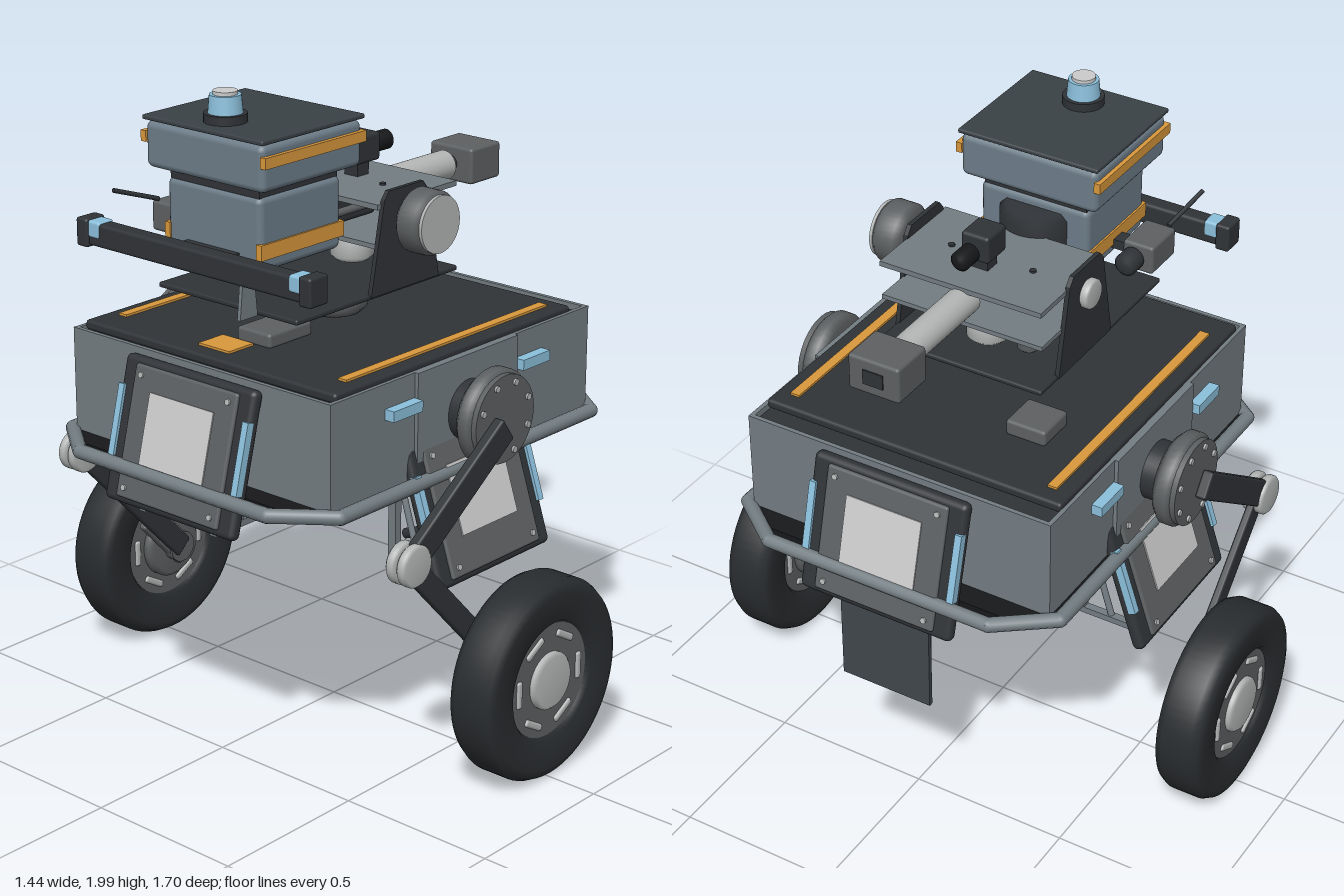
import * as THREE from 'three';
import { RoundedBoxGeometry } from 'three/addons/geometries/RoundedBoxGeometry.js';

const C = { panel: 0x737d82, dark: 0x303337, black: 0x17181a, tyre: 0x292c2f, mid: 0x5d6062, light: 0xb4b6b6,
  plate: 0xd4d8d8, orange: 0xd9983c, blue: 0x8cc0dc, head: 0x6d7d89, roof: 0x3a4146, flap: 0x3f474c };
const mats = {};
const mat = (c) => (mats[c] ??= new THREE.MeshStandardMaterial({ color: c, side: THREE.DoubleSide }));

function add(parent, name, geo, color, p = [0, 0, 0], r = [0, 0, 0]) {
  const m = new THREE.Mesh(geo, mat(color));
  m.name = name;
  m.position.set(...p);
  m.rotation.set(...r);
  parent.add(m);
  return m;
}
const box = (w, h, d) => new THREE.BoxGeometry(w, h, d);
const rbox = (w, h, d, r = 0.015) => new RoundedBoxGeometry(w, h, d, 2, r);
const cyl = (r, h, r2 = r, n = 32) => new THREE.CylinderGeometry(r2, r, h, n);
const shape = (pts) => new THREE.Shape(pts.map((p) => new THREE.Vector2(...p)));
const slab = (pts, depth) => new THREE.ExtrudeGeometry(shape(pts), { depth, bevelEnabled: false });
const X = [0, 0, -Math.PI / 2], Z = [Math.PI / 2, 0, 0];

// Round bar between two points
function rod(parent, name, a, b, r, color) {
  const A = new THREE.Vector3(...a), B = new THREE.Vector3(...b);
  const m = add(parent, name, cyl(r, A.distanceTo(B), r, 12), color);
  m.position.copy(A).add(B).multiplyScalar(0.5);
  m.quaternion.setFromUnitVectors(new THREE.Vector3(0, 1, 0), B.sub(A).normalize());
}

// Soft-edged disc or drum along y
function drum(r, h, e = 0.015) {
  return new THREE.LatheGeometry([[0, -h / 2], [r - e, -h / 2], [r, -h / 2 + e], [r, h / 2 - e], [r - e, h / 2], [0, h / 2]]
    .map(([x, y]) => new THREE.Vector2(x, y)), 40);
}

// Eight-cornered outline, chamfered at the corners
const octagon = (x, z, cx, cz) => [[cx, z], [x, cz], [x, -cz], [cx, -z], [-cx, -z], [-x, -cz], [-x, cz], [-cx, z]];

function buildBody(root) {
  const g = new THREE.Group();
  g.name = 'body';
  root.add(g);
  add(g, 'floorPan', slab(octagon(0.65, 0.515, 0.56, 0.41), 0.025), C.black, [0, 0.918, 0], Z);
  add(g, 'floorHatch', box(0.2, 0.012, 0.14), C.dark, [0, 0.888, 0]);
  add(g, 'hull', box(1.13, 0.3, 0.98), C.dark, [0, 1.065, 0]);
  add(g, 'deck', rbox(1.05, 0.03, 0.98, 0.01), C.dark, [-0.02, 1.237, 0]);
  // Bumper rail
  const rail = octagon(0.693, 0.53, 0.57, 0.37).map(([x, z]) => [x, 0.912, z]);
  rail.forEach((p, i) => {
    rod(g, 'bumperRail', p, rail[(i + 1) % 8], 0.022, C.panel);
    add(g, 'railJoint', new THREE.SphereGeometry(0.022, 12, 8), C.panel, p);
  });
  // Upright walls
  for (const s of [-1, 1]) {
    add(g, 'sideWall', box(1.16, 0.325, 0.014), C.panel, [0, 1.0725, s * 0.495]);
    add(g, 'sidePanel', box(0.45, 0.33, 0.016), C.panel, [0, 1.07, s * 0.506]);
    add(g, 'endWall', box(0.014, 0.325, 0.98), C.panel, [s * 0.573, 1.0725, 0]);
    add(g, 'deckStripe', box(0.9, 0.008, 0.03), C.orange, [0, 1.255, s * 0.43]);
    for (const x of [-0.29, 0.29]) add(g, 'sideLamp', box(0.125, 0.032, 0.04), C.blue, [x, 1.145, s * 0.515]);
  }
  add(g, 'deckBox', rbox(0.13, 0.05, 0.13, 0.01), C.mid, [0.23, 1.275, -0.25]);
  add(g, 'deckBox', rbox(0.18, 0.045, 0.13, 0.01), C.mid, [-0.29, 1.27, 0.03]);
  add(g, 'deckPatch', box(0.1, 0.008, 0.12), C.orange, [-0.44, 1.255, -0.02]);
  // Hanging flap with its brackets
  add(g, 'flap', box(0.014, 0.32, 0.3), C.flap, [0.652, 0.65, 0]);
  for (const s of [-1, 1]) add(g, 'flapBracket', box(0.05, 0.18, 0.03), C.panel, [0.615, 0.7, s * 0.1]);
}

// Tilted armour plate with lamps and the struts behind it
function buildPlate(root, yaw, dist, y, tilt) {
  const base = new THREE.Group();
  base.name = 'armourPlate';
  base.rotation.y = yaw;
  root.add(base);
  const g = new THREE.Group();
  g.position.set(0, y, dist);
  g.rotation.x = -tilt;
  base.add(g);
  add(g, 'plateBack', rbox(0.51, 0.43, 0.04, 0.018), C.dark);
  add(g, 'plateFrame', rbox(0.4, 0.39, 0.02, 0.008), C.mid, [0, 0, 0.02]);
  add(g, 'platePanel', box(0.25, 0.21, 0.012), C.plate, [0, 0.02, 0.028]);
  for (const s of [-1, 1]) {
    add(g, 'plateLamp', box(0.022, 0.21, 0.035), C.blue, [s * 0.243, 0.02, 0.012]);
    for (const t of [-1, 1]) add(g, 'bolt', cyl(0.009, 0.01, 0.009, 10), C.light, [s * 0.17, t * 0.165, 0.031], Z);
    const x = s * 0.14, o = dist + 0.02, i = dist - 0.185, b = y - 0.22;
    add(base, 'strutPost', box(0.025, 0.33, 0.028), C.panel, [x, b + 0.165, i]);
    add(base, 'strutFoot', box(0.025, 0.02, 0.22), C.panel, [x, b, (o + i) / 2]);
    rod(base, 'strutBrace', [x, b + 0.01, o - 0.01], [x, b + 0.32, i + 0.07], 0.011, C.panel);
    rod(base, 'strutBrace', [x, b + 0.01, i + 0.1], [x, b + 0.3, i + 0.01], 0.01, C.panel);
  }
  rod(base, 'cableClip', [0, y - 0.19, dist - 0.26], [0, y - 0.15, dist - 0.16], 0.016, C.dark);
}

function buildWheel(g, s) {
  const side = [[0.17, 0.045], [0.185, 0.07], [0.27, 0.077], [0.295, 0.068], [0.307, 0.045]];
  const pts = [...side.map(([r, y]) => [r, -y]), ...side.slice().reverse()].map(([r, y]) => new THREE.Vector2(r, y));
  const w = new THREE.Group();
  w.name = 'wheel';
  w.position.set(0, 0.313, s * 0.772);
  g.add(w);
  add(w, 'tyre', new THREE.LatheGeometry(pts, 64), C.tyre, [0, 0, 0], Z);
  add(w, 'rim', cyl(0.175, 0.11, 0.175, 48), C.mid, [0, 0, 0], Z);
  add(w, 'hubCap', drum(0.088, 0.15, 0.01), C.light, [0, 0, 0], Z);
  add(w, 'wheelMotor', drum(0.11, 0.05), C.mid, [0, 0, -s * 0.065], Z);
  for (let i = 0; i < 6; i++) {
    const a = i * Math.PI / 3;
    add(w, 'rimSlot', rbox(0.022, 0.085, 0.125, 0.008), C.light, [0.138 * Math.cos(a), 0.138 * Math.sin(a), 0], [0, 0, a]);
  }
}

function buildLeg(root, s) {
  const g = new THREE.Group();
  g.name = s > 0 ? 'frontLeg' : 'backLeg';
  root.add(g);
  const hip = [0, 1.07], knee = [-0.428, 0.765], axle = [0, 0.313];
  const arm = (name, a, b, z, w, d, color) => {
    const dx = b[0] - a[0], dy = b[1] - a[1];
    add(g, name, rbox(Math.hypot(dx, dy), w, d, 0.008), color, [(a[0] + b[0]) / 2, (a[1] + b[1]) / 2, s * z], [0, 0, Math.atan2(dy, dx)]);
  };
  add(g, 'hipShaft', cyl(0.09, 0.09), C.dark, [...hip, s * 0.54], Z);
  add(g, 'hipDrum', drum(0.143, 0.07, 0.02), C.mid, [...hip, s * 0.605], Z);
  add(g, 'hipFace', cyl(0.132, 0.02), C.mid, [...hip, s * 0.638], Z);
  for (let i = 0; i < 8; i++) {
    const a = (i + 0.5) * Math.PI / 4;
    add(g, 'bolt', cyl(0.01, 0.014, 0.01, 10), C.light, [0.11 * Math.cos(a), 1.07 + 0.11 * Math.sin(a), s * 0.648], Z);
  }
  arm('upperArm', [-0.02, 1.055], knee, 0.663, 0.085, 0.035, C.dark);
  arm('lowerArm', knee, axle, 0.652, 0.07, 0.025, C.dark);
  for (const z of [0.636, 0.675]) add(g, 'kneeJoint', drum(0.062, 0.035, 0.008), C.light, [...knee, s * z], Z);
  arm('axleMount', [-0.13, 0.452], [0.03, 0.28], 0.672, 0.09, 0.03, C.mid);
  add(g, 'axle', cyl(0.05, 0.1), C.mid, [...axle, s * 0.7], Z);
  buildWheel(g, s);
}

function buildTurret(root) {
  const g = new THREE.Group();
  g.name = 'turret';
  root.add(g);
  add(g, 'turretNeck', drum(0.1, 0.07, 0.02), C.mid, [0, 1.292, 0]);
  add(g, 'turretCollar', drum(0.095, 0.045, 0.01), C.mid, [0, 1.345, 0]);
  add(g, 'turretSpindle', cyl(0.07, 0.03), C.dark, [0, 1.37, 0]);
  add(g, 'turretBase', rbox(0.7, 0.016, 0.54, 0.006), C.dark, [-0.108, 1.385, 0]);
  // Trunnion cheeks
  const cheek = [[-0.15, 1.385], [0.15, 1.385], [0.095, 1.66], [0.075, 1.685], [-0.075, 1.685], [-0.095, 1.66]];
  for (const s of [-1, 1]) {
    add(g, 'cheek', slab(cheek, 0.014), C.dark, [0, 0, s * 0.268 - 0.007]);
    add(g, 'roller', drum(0.035, 0.1, 0.012), C.mid, [0.08, 1.45, s * 0.135]);
    add(g, 'rollerCap', drum(0.045, 0.05, 0.012), C.dark, [0.08, 1.505, s * 0.135]);
    add(g, 'linkRod', cyl(0.012, 0.3), C.mid, [0, 1.6, s * 0.12], X);
    add(g, 'bolt', cyl(0.01, 0.012, 0.01, 10), C.dark, [0.06, 1.65, s * 0.135]);
  }
  add(g, 'trunnionMotor', drum(0.095, 0.1, 0.02), C.mid, [0, 1.595, 0.35], Z);
  add(g, 'trunnionCap', cyl(0.085, 0.01), C.light, [0, 1.595, 0.398], Z);
  add(g, 'trunnionPin', drum(0.045, 0.03, 0.006), C.light, [0, 1.595, -0.288], Z);
  add(g, 'upperPlate', box(0.35, 0.016, 0.53), C.panel, [0.062, 1.642, 0]);
  add(g, 'lowerPlate', box(0.35, 0.014, 0.53), C.panel, [0.055, 1.528, 0]);
  add(g, 'feedDrum', drum(0.065, 0.085), C.light, [0.08, 1.44, 0]);
  // Barrel and muzzle
  add(g, 'breech', rbox(0.2, 0.09, 0.14), C.dark, [0.01, 1.587, 0]);
  add(g, 'barrelCore', cyl(0.025, 0.5), C.dark, [0.3, 1.595, 0], X);
  add(g, 'barrel', drum(0.046, 0.335, 0.015), C.light, [0.352, 1.595, 0], X);
  add(g, 'muzzle', rbox(0.14, 0.112, 0.165, 0.01), C.mid, [0.605, 1.595, 0]);
  add(g, 'muzzleBore', box(0.01, 0.045, 0.065), C.dark, [0.674, 1.595, 0]);
  // Sight camera
  add(g, 'sightMount', box(0.05, 0.06, 0.05), C.dark, [0.1, 1.67, 0]);
  add(g, 'sight', rbox(0.1, 0.085, 0.09, 0.01), C.dark, [0.105, 1.733, 0]);
  add(g, 'sightLens', drum(0.03, 0.08, 0.012), C.black, [0.203, 1.73, 0], X);
}

function buildHead(root) {
  const g = new THREE.Group();
  g.name = 'head';
  root.add(g);
  add(g, 'headPivot', drum(0.115, 0.15, 0.02), C.dark, [-0.2, 1.63, 0]);
  add(g, 'headArm', box(0.16, 0.05, 0.1), C.dark, [-0.1, 1.605, 0]);
  add(g, 'lowerHousing', rbox(0.335, 0.215, 0.36, 0.02), C.head, [-0.338, 1.627, 0]);
  add(g, 'housingNeck', box(0.32, 0.04, 0.34), C.dark, [-0.338, 1.75, 0]);
  add(g, 'upperHousing', rbox(0.41, 0.135, 0.45, 0.02), C.head, [-0.338, 1.828, 0]);
  add(g, 'roof', rbox(0.42, 0.014, 0.46, 0.005), C.roof, [-0.338, 1.905, 0]);
  for (const s of [-1, 1]) {
    add(g, 'upperStripe', box(0.415, 0.032, 0.02), C.orange, [-0.338, 1.85, s * 0.228]);
    add(g, 'lowerStripe', box(0.342, 0.045, 0.02), C.orange, [-0.338, 1.58, s * 0.176]);
  }
  add(g, 'beaconBase', cyl(0.062, 0.025), C.dark, [-0.45, 1.925, 0]);
  add(g, 'beacon', cyl(0.05, 0.055, 0.045), C.blue, [-0.45, 1.962, 0]);
  add(g, 'beaconCap', cyl(0.035, 0.012), C.plate, [-0.45, 1.994, 0]);
  // Cross bar with lamps
  add(g, 'crossBar', rbox(0.055, 0.07, 0.9, 0.01), C.dark, [-0.567, 1.54, 0]);
  add(g, 'barLink', box(0.08, 0.03, 0.2), C.dark, [-0.52, 1.55, 0]);
  for (const s of [-1, 1]) {
    add(g, 'barLamp', rbox(0.06, 0.05, 0.07, 0.008), C.blue, [-0.567, 1.555, s * 0.4]);
    add(g, 'barEnd', rbox(0.075, 0.085, 0.045, 0.008), C.dark, [-0.567, 1.542, s * 0.43]);
  }
  add(g, 'barFin', slab([[-0.035, -0.07], [0.035, -0.07], [0.02, 0.07], [-0.02, 0.07]], 0.012), C.panel, [-0.567, 1.48, 0.18]);
  // Rear camera and aerial
  add(g, 'cameraArm', box(0.05, 0.03, 0.12), C.dark, [-0.34, 1.56, -0.21]);
  add(g, 'camera', rbox(0.14, 0.09, 0.1, 0.01), C.mid, [-0.34, 1.57, -0.29]);
  add(g, 'cameraLens', drum(0.035, 0.07, 0.012), C.dark, [-0.24, 1.57, -0.28], X);
  rod(g, 'aerial', [-0.55, 1.67, -0.35], [-0.4, 1.62, -0.32], 0.007, C.dark);
}

export function createModel() {
  const root = new THREE.Group();
  root.name = 'twoWheeledRobot';
  buildBody(root);
  for (const s of [0, 1]) {
    buildPlate(root, s * Math.PI, 0.545, 0.81, 0.32);
    buildPlate(root, Math.PI / 2 + s * Math.PI, 0.643, 1.01, 0.25);
  }
  for (const s of [-1, 1]) buildLeg(root, s);
  buildTurret(root);
  buildHead(root);
  return root;
}
